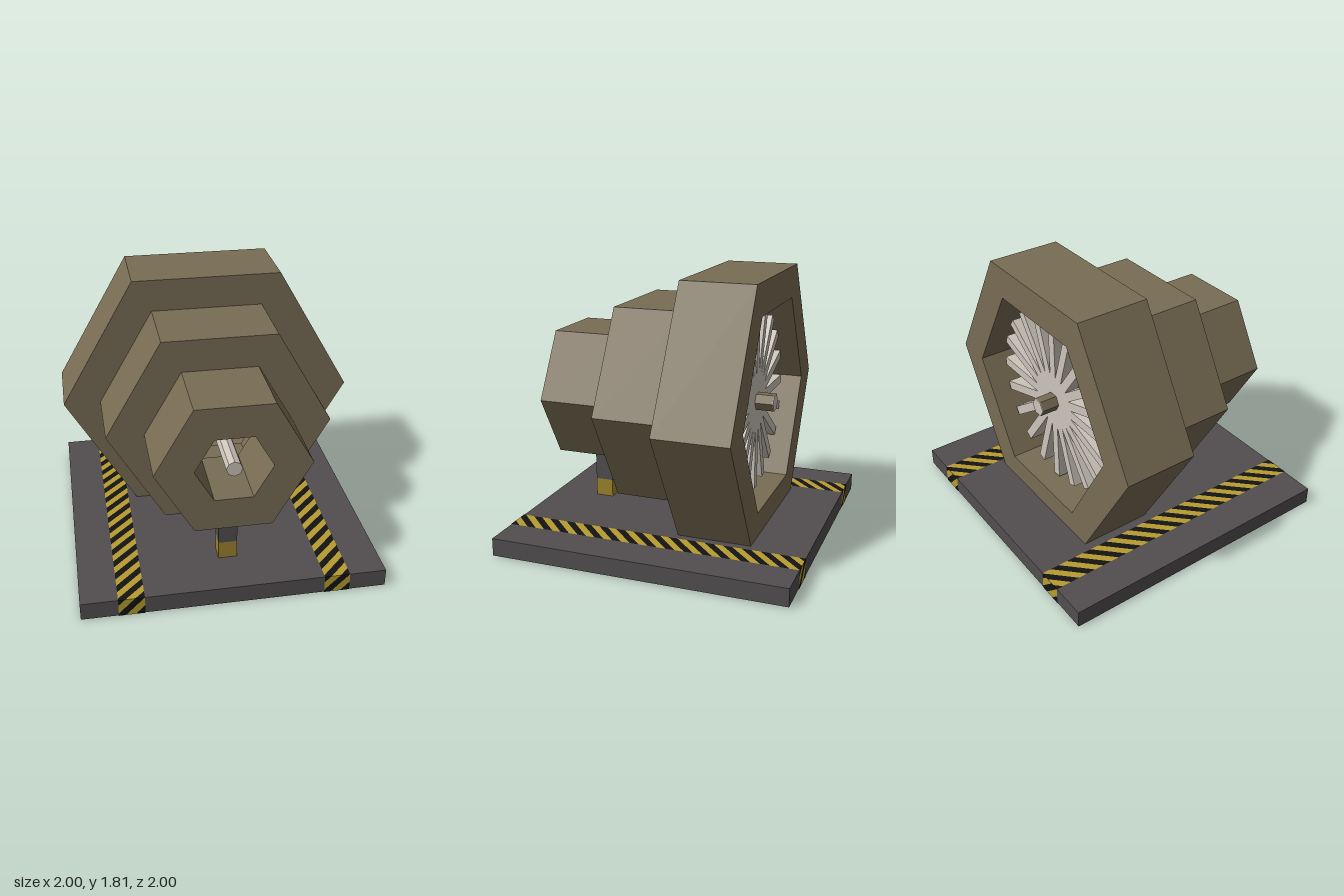
import * as THREE from 'three';

const mat = (name, color, flat = true) => {
  const m = new THREE.MeshStandardMaterial({ color, flatShading: flat });
  m.name = name;
  return m;
};

export function createModel() {
  const root = new THREE.Group();
  const brown = mat('casingBrown', 0x786c54);
  const grey = mat('baseGrey', 0x524e4f);
  const yellow = mat('hazardYellow', 0xb89c2f);
  const black = mat('hazardBlack', 0x131313);
  const ochre = mat('postYellow', 0x9c842c);
  const pale = mat('paleMetal', 0xccc5bb);
  const axisY = 0.94;

  const add = (name, geo, material, x = 0, y = 0, z = 0, parent = root) => {
    const mesh = new THREE.Mesh(geo, material);
    mesh.name = name;
    mesh.position.set(x, y, z);
    parent.add(mesh);
    return mesh;
  };
  const box = (name, w, h, d, material, x, y, z, parent) =>
    add(name, new THREE.BoxGeometry(w, h, d), material, x, y, z, parent);

  // Base slab and front support post
  box('base', 2, 0.121, 1.996, grey, 0, 0.0625, 0);
  box('postFoot', 0.125, 0.125, 0.125, ochre, 0, 0.1875, 0.625);
  box('post', 0.125, 0.26, 0.125, grey, 0, 0.38, 0.625);

  // Diagonal hazard stripes filling a flat rectangle, split into two colours
  const bandW = 0.17, period = 0.125;
  const hazardPanel = (name, length) => {
    const panel = new THREE.Group();
    panel.name = name;
    const clamp = v => Math.min(length, Math.max(0, v));
    const count = Math.ceil((length + bandW) / period) * 2;
    const colours = [[], []];
    const steps = 17;
    for (let k = 0; k < count; k++) {
      const low = -bandW + k * period / 2;
      const lower = [], upper = [];
      for (let i = 0; i <= steps; i++) {
        const u = bandW * i / steps;
        const a = clamp(low + u), b = clamp(low + period / 2 + u);
        if (b - a < 1e-6) continue;
        lower.push(new THREE.Vector2(u - bandW / 2, a - length / 2));
        upper.unshift(new THREE.Vector2(u - bandW / 2, b - length / 2));
      }
      if (lower.length > 1) colours[k % 2].push(new THREE.Shape([...lower, ...upper]));
    }
    add('blackStripes', new THREE.ShapeGeometry(colours[0]), black, 0, 0, 0, panel);
    add('yellowStripes', new THREE.ShapeGeometry(colours[1]), yellow, 0, 0, 0, panel);
    root.add(panel);
    return panel;
  };

  // Two hazard bands wrapping around the slab
  for (const x of [-0.675, 0.67]) {
    const top = hazardPanel('hazardTop', 2);
    top.rotation.x = -Math.PI / 2;
    top.position.set(x, 0.125, 0);
    const bottom = hazardPanel('hazardBottom', 2);
    bottom.rotation.x = Math.PI / 2;
    bottom.position.set(x, 0, 0);
    const front = hazardPanel('hazardFront', 0.125);
    front.position.set(x, 0.0625, 1);
    const back = hazardPanel('hazardBack', 0.125);
    back.rotation.y = Math.PI;
    back.position.set(x, 0.0625, -1);
  }

  // Three hollow hexagonal casing stages, stepping down towards the front
  const hexagon = r => Array.from({ length: 6 }, (_, i) =>
    new THREE.Vector2(r * Math.cos(i * Math.PI / 3), r * Math.sin(i * Math.PI / 3)));
  const stages = [['rearCasing', 1, 0.75, -0.625], ['middleCasing', 0.75, 0.5, -0.125], ['frontCasing', 0.5, 0.25, 0.375]];
  for (const [name, outer, inner, z] of stages) {
    const shape = new THREE.Shape(hexagon(outer));
    shape.holes.push(new THREE.Path(hexagon(inner)));
    add(name, new THREE.ExtrudeGeometry(shape, { depth: 0.5, bevelEnabled: false }), brown, 0, axisY, z);
  }

  // Shaft: pale rod in front, brown hexagonal collar with pale cap at the rear
  const rod = add('shaft', new THREE.CylinderGeometry(0.052, 0.052, 1.3, 8), pale, 0, axisY, 0.225);
  rod.rotation.x = Math.PI / 2;
  const collarShape = new THREE.Shape(hexagon(0.0625));
  add('shaftCollar', new THREE.ExtrudeGeometry(collarShape, { depth: 0.4, bevelEnabled: false }),
    brown, 0, axisY, -0.62);
  add('shaftCap', new THREE.ExtrudeGeometry(collarShape, { depth: 0.005, bevelEnabled: false }),
    pale, 0, axisY, -0.625);

  // Fan of twenty radial blades
  const fan = new THREE.Group();
  fan.name = 'fan';
  fan.position.set(0, axisY, -0.45);
  root.add(fan);
  const bladeGeo = new THREE.BoxGeometry(0.0625, 0.625, 0.1);
  bladeGeo.translate(0, 0.3125, 0);
  for (let i = 0; i < 20; i++) {
    add('blade', bladeGeo, pale, 0, 0, 0, fan).rotation.z = i * Math.PI / 10;
  }

  return root;
}
